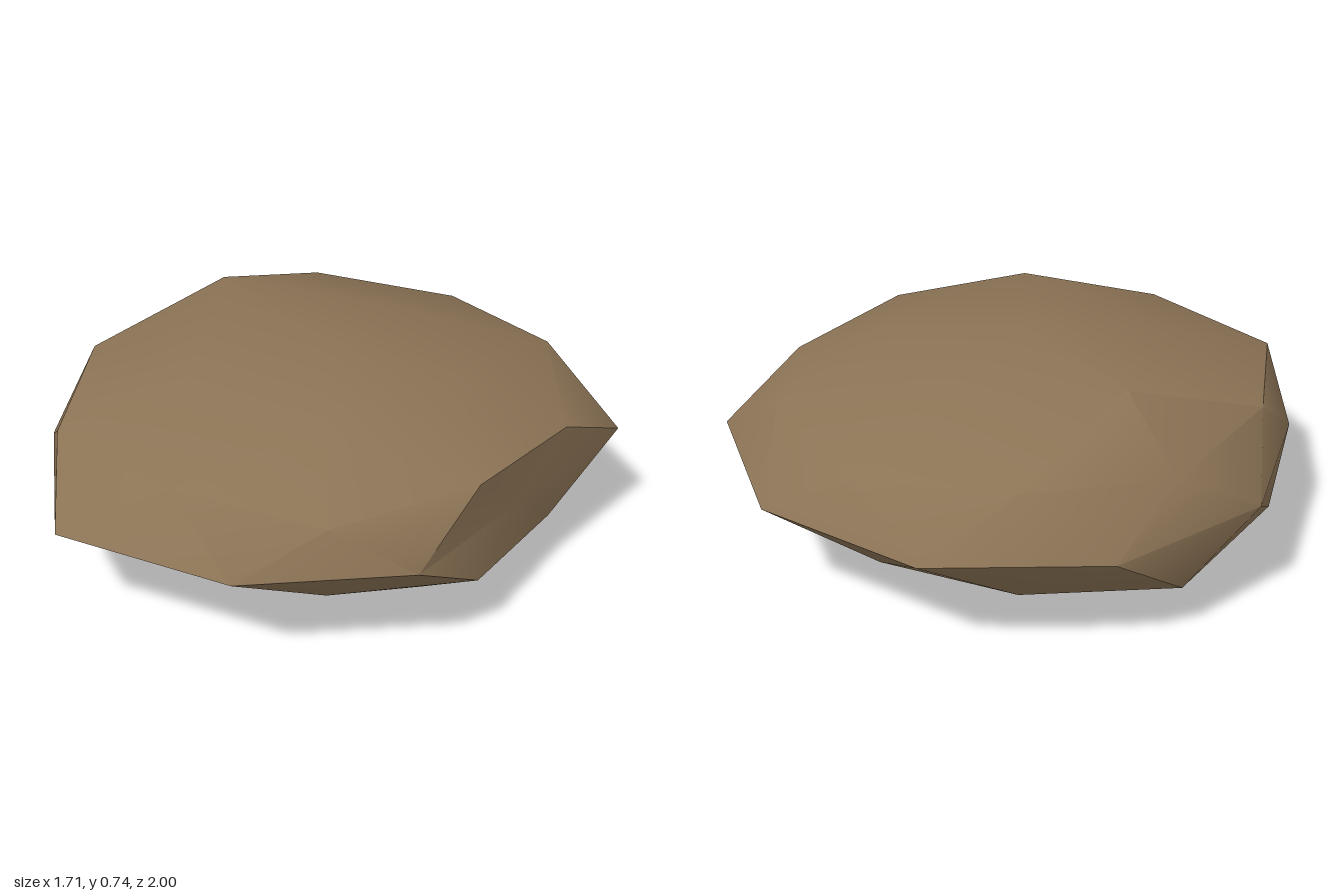
import * as THREE from 'three';
import { ConvexGeometry } from 'three/addons/geometries/ConvexGeometry.js';
import { toCreasedNormals } from 'three/addons/utils/BufferGeometryUtils.js';

const DEG = Math.PI / 180;

// Rings of a subdivided icosahedron: latitude, first azimuth, then the radius
// of each corner in turn. Small radii are the chipped, flattened places.
const RINGS = [
  { lat: 90, start: 0, radii: [0.917] },
  { lat: 58.28, start: 36, radii: [0.87, 0.84, 1.065, 0.86, 0.985] },
  { lat: 31.72, start: 0, radii: [0.92, 0.96, 0.95, 0.95, 0.935] },
  { lat: 26.57, start: 36, radii: [0.91, 0.93, 0.906, 0.988, 0.92] },
  { lat: 0, start: 18, radii: [0.75, 0.995, 0.98, 0.952, 0.933, 0.92, 0.895, 1.02, 0.918, 0.87] },
  { lat: -26.57, start: 0, radii: [0.89, 0.85, 0.9, 0.95, 0.82] },
  { lat: -31.72, start: 36, radii: [0.915, 0.865, 1.0, 1.01, 0.82] },
  { lat: -58.28, start: 0, radii: [1.01, 0.82, 0.95, 0.93, 0.99] },
  { lat: -90, start: 0, radii: [1.0] },
];

function createStoneGeometry() {
  const directions = [];
  const radii = [];
  for (const ring of RINGS) {
    ring.radii.forEach((radius, i) => {
      const azimuth = (ring.start + (i * 360) / ring.radii.length) * DEG;
      const lat = ring.lat * DEG;
      directions.push(new THREE.Vector3(
        Math.cos(lat) * Math.cos(azimuth),
        Math.sin(lat),
        -Math.cos(lat) * Math.sin(azimuth),
      ));
      radii.push(radius);
    });
  }

  // Skin the regular ball, then push each corner in or out and flatten it
  const geometry = new ConvexGeometry(directions);
  const position = geometry.attributes.position;
  const v = new THREE.Vector3();
  for (let i = 0; i < position.count; i++) {
    v.fromBufferAttribute(position, i);
    const index = directions.findIndex((d) => d.distanceToSquared(v) < 1e-4);
    v.copy(directions[index]).multiplyScalar(radii[index]);
    position.setXYZ(i, v.x + 0.03, v.y * 0.388 + 0.39, v.z - 0.02);
  }
  return toCreasedNormals(geometry, 37 * DEG);
}

export function createModel() {
  const group = new THREE.Group();
  group.name = 'rock';

  const stoneBrown = new THREE.MeshStandardMaterial({ color: 0x8b7355 });
  stoneBrown.name = 'stone brown';

  const stone = new THREE.Mesh(createStoneGeometry(), stoneBrown);
  stone.name = 'stone';
  group.add(stone);
  return group;
}
